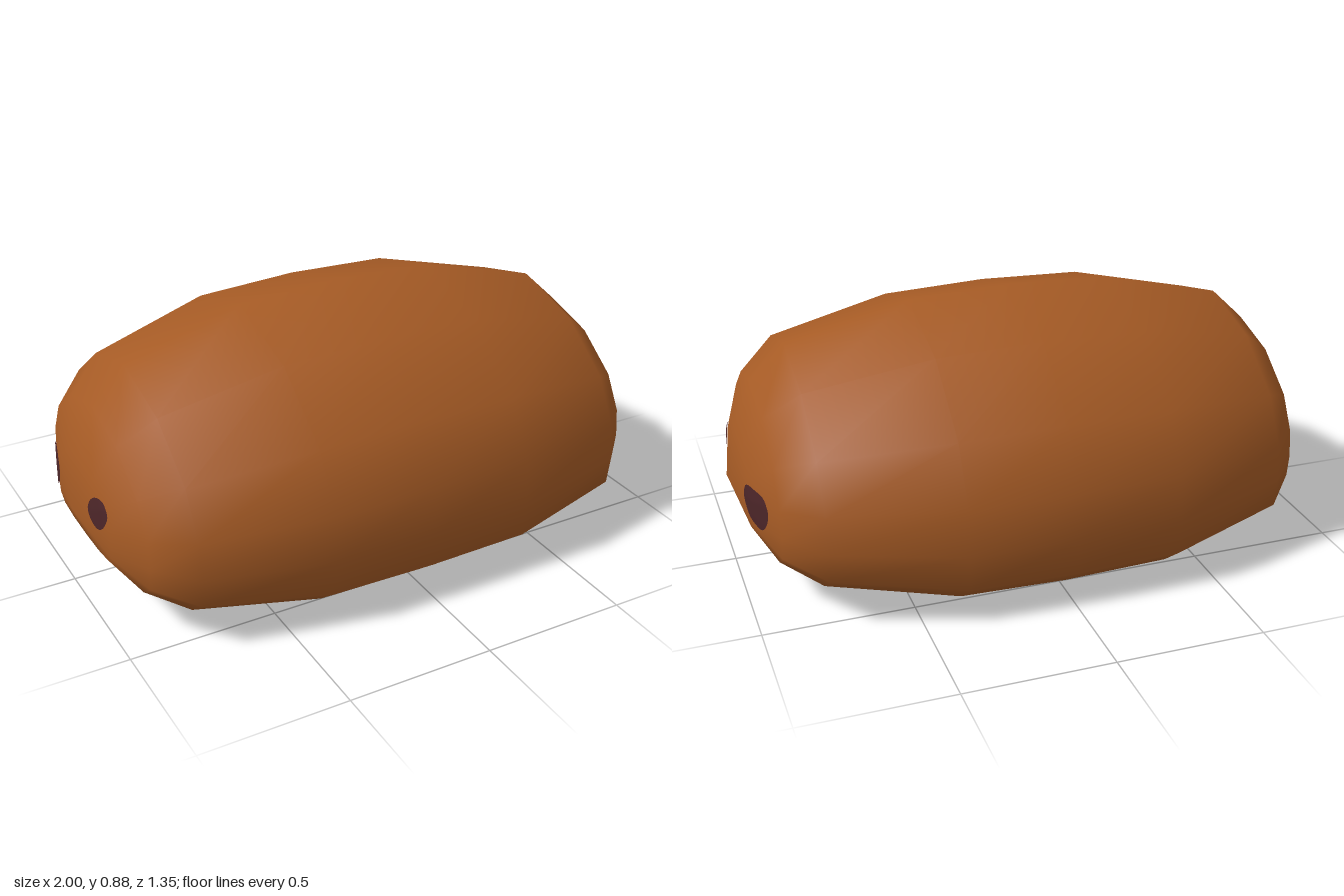
import * as THREE from 'three';
import { mergeVertices } from 'three/addons/utils/BufferGeometryUtils.js';

const crust = new THREE.MeshStandardMaterial({ name: 'warm brown', color: 0xa65b25 });
const dark = new THREE.MeshStandardMaterial({ name: 'dark plum', color: 0x4b2528, side: THREE.DoubleSide });

// Half of the middle cross-section from ridge to underside: [z, y], scaled to 0..1
const half = [[0, 0.885], [0.32, 0.795], [0.56, 0.605], [0.66, 0.41], [0.675, 0.25],
  [0.66, 0.12], [0.56, 0.04], [0.32, 0.008], [0, 0]].map(([z, y]) => [z / 0.675, y / 0.885]);
const section = [...half, ...half.slice(1, -1).reverse().map(([z, y]) => [-z, y])];

// Cross-sections towards one end: x, back z, front z, bottom y, top y
const stations = [
  [0, -0.677, 0.675, 0, 0.885],
  [0.36, -0.668, 0.67, 0.006, 0.87],
  [0.78, -0.535, 0.58, 0.07, 0.76],
  [0.9, -0.4, 0.46, 0.125, 0.645],
  [0.96, -0.2, 0.28, 0.19, 0.48],
  [1, 0.05, 0.05, 0.3, 0.3],
];

function makeBody() {
  const rings = [...stations.slice(1).reverse().map(([x, ...r]) => [-x, ...r]), ...stations];
  const n = section.length, pos = [], index = [];
  rings.forEach(([x, z0, z1, y0, y1], i) => {
    section.forEach(([z, y], j) => {
      pos.push(x, y0 + (y1 - y0) * y, (z0 + z1) / 2 + (z1 - z0) / 2 * z);
      if (i === rings.length - 1) return;
      const a = i * n + j, c = i * n + (j + 1) % n;
      if (i > 0) index.push(a, c, a + n);
      if (i < rings.length - 2) index.push(a + n, c, c + n);
    });
  });
  const geo = new THREE.BufferGeometry();
  geo.setAttribute('position', new THREE.Float32BufferAttribute(pos, 3));
  geo.setIndex(index);
  const merged = mergeVertices(geo, 1e-4);
  merged.computeVertexNormals();
  const mesh = new THREE.Mesh(merged, crust);
  mesh.name = 'body';
  return mesh;
}

// A spot laid on the end of the body: a smooth closed outline of [z, y] points
function makeSpot(body, side, outline, name) {
  const curve = new THREE.CatmullRomCurve3(outline.map(([z, y]) => new THREE.Vector3(0, y, z)), true);
  const rim = curve.getPoints(32).slice(0, -1);
  const centre = rim.reduce((s, p) => s.add(p), new THREE.Vector3()).divideScalar(rim.length);
  const steps = 6, n = rim.length, pos = [], index = [];
  const ray = new THREE.Raycaster();
  for (let i = 0; i <= steps; i++) {
    rim.forEach((p, j) => {
      const q = centre.clone().lerp(p, i / steps).setX(side * 2);
      ray.set(q, new THREE.Vector3(-side, 0, 0));
      const hit = ray.intersectObject(body)[0];
      pos.push((hit ? hit.point.x : side * 0.95) + side * 0.005, q.y, q.z);
      if (i === steps) return;
      const a = i * n + j, b = i * n + (j + 1) % n;
      const quad = [a, a + n, b, b, a + n, b + n];
      index.push(...(side > 0 ? quad.reverse() : quad));
    });
  }
  const geo = new THREE.BufferGeometry();
  geo.setAttribute('position', new THREE.Float32BufferAttribute(pos, 3));
  // Face the spot outwards
  const e = (k) => new THREE.Vector3().fromArray(pos, k * 3);
  const [u, v, w] = index.slice(-3).map(e);
  if (v.sub(u).cross(w.sub(u)).x * side < 0) index.reverse();
  geo.setIndex(index);
  geo.computeVertexNormals();
  const mesh = new THREE.Mesh(geo, dark);
  mesh.name = name;
  return mesh;
}

export function createModel() {
  const model = new THREE.Group();
  model.name = 'loaf';
  const body = makeBody();
  body.updateMatrixWorld();
  model.add(body);

  const small = [[0.268, 0.375], [0.245, 0.408], [0.205, 0.415], [0.165, 0.393],
    [0.152, 0.36], [0.175, 0.325], [0.215, 0.31], [0.25, 0.33]];
  const large = [[-0.145, 0.325], [-0.165, 0.363], [-0.23, 0.37], [-0.295, 0.366],
    [-0.325, 0.335], [-0.315, 0.285], [-0.275, 0.247], [-0.215, 0.253], [-0.165, 0.285]];
  for (const side of [1, -1]) {
    const label = side > 0 ? 'left' : 'right';
    model.add(makeSpot(body, side, small, label + 'SmallSpot'));
    model.add(makeSpot(body, side, large, label + 'LargeSpot'));
  }
  return model;
}
